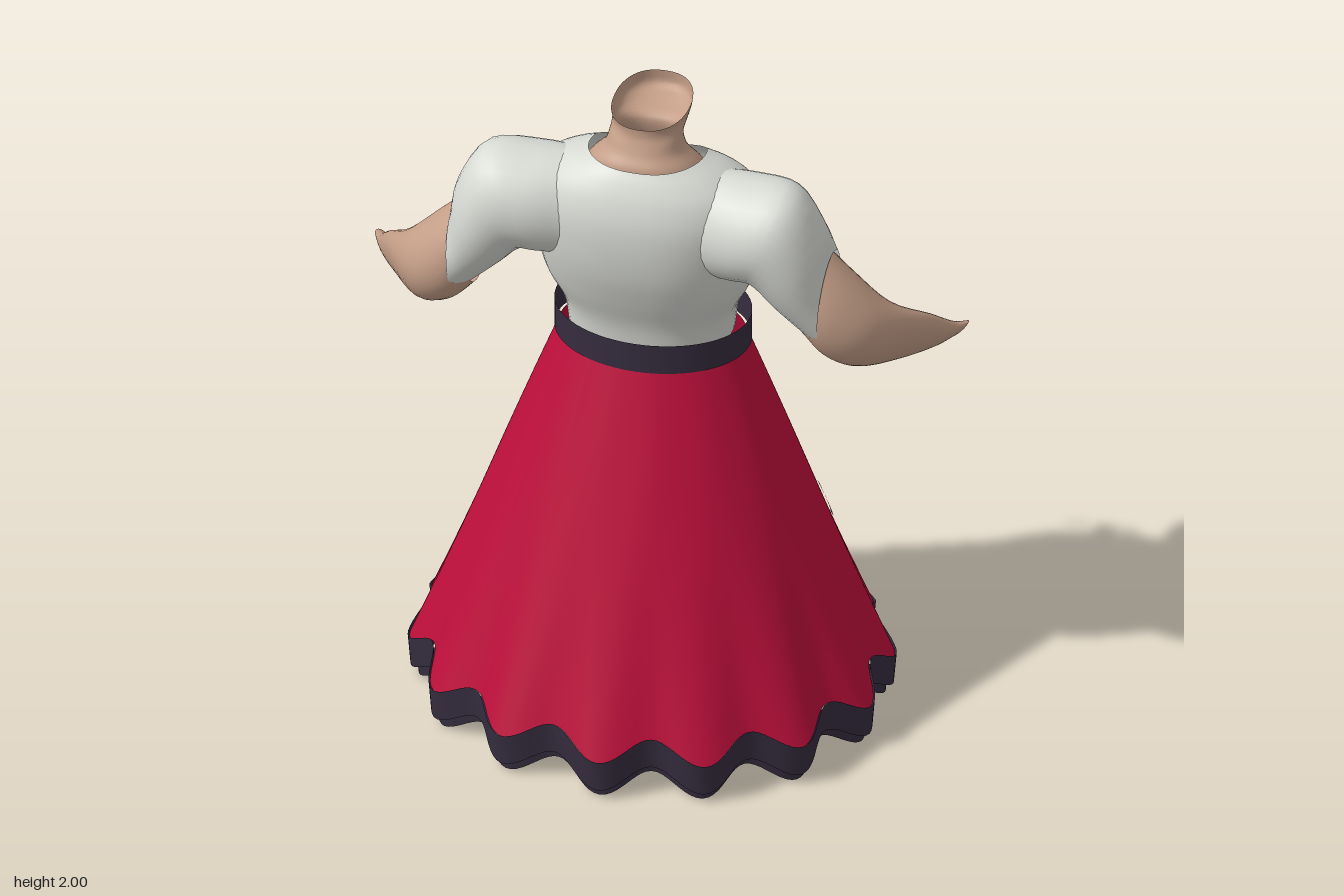
import * as THREE from 'three';

const V = (x, y, z) => new THREE.Vector3(x, y, z);
const mix = THREE.MathUtils.lerp;
const RAD = Math.PI / 180;

const mat = (name, color) => {
  const m = new THREE.MeshStandardMaterial({ color, side: THREE.DoubleSide });
  m.name = name;
  return m;
};

// Skins closed rings of points, splined from ring to ring
function loft(rings, sub = 4) {
  const n = rings[0].length;
  const rows = (rings.length - 1) * sub;
  const pos = [], idx = [];
  const columns = rings[0].map((_, j) => new THREE.CatmullRomCurve3(rings.map(r => r[j])));
  for (let i = 0; i <= rows; i++)
    for (let j = 0; j < n; j++) pos.push(...columns[j].getPoint(i / rows).toArray());
  for (let i = 0; i < rows; i++)
    for (let j = 0; j < n; j++) {
      const a = i * n + j, b = i * n + (j + 1) % n;
      idx.push(a, b, a + n, b, b + n, a + n);
    }
  const g = new THREE.BufferGeometry();
  g.setAttribute('position', new THREE.Float32BufferAttribute(pos, 3));
  g.setIndex(idx);
  g.computeVertexNormals();
  return g;
}

const ring = (n, fn) => Array.from({ length: n }, (_, j) => fn(j / n * Math.PI * 2));
const soft = (v, p) => Math.sign(v) * Math.pow(Math.abs(v), p);

// Body section: back height, front height, half width, back z, front z
function bodyRing([yb, yf, hw, zb, zf], dip) {
  return ring(48, a => {
    const c = Math.cos(a), front = Math.pow((1 - c) / 2, dip);
    return V(hw * soft(Math.sin(a), 0.85), mix(yb, yf, front), (zb + zf) / 2 + (zb - zf) / 2 * soft(c, 0.9));
  });
}

// Limb section: centre, half height, half depth, tilt of the section in degrees
function limbRing([x, y, z, h, d, tilt], side) {
  return ring(28, a => V(
    side * (x + h * Math.cos(a) * Math.cos(tilt * RAD)),
    y + h * Math.cos(a) * Math.sin(tilt * RAD),
    z + d * Math.sin(a)));
}

// Flat ribbon along [u, v, width] points, bent onto a surface by map(u, v)
function ribbon(points, scale, map) {
  const path = new THREE.CatmullRomCurve3(points.map(p => V(p[0] * scale, p[1], p[2])));
  const g = new THREE.PlaneGeometry(1, 1, 20, 4);
  const p = g.attributes.position;
  for (let i = 0; i < p.count; i++) {
    const t = p.getX(i) + 0.5, c = path.getPoint(t), d = path.getTangent(t);
    const len = Math.hypot(d.x, d.y) || 1, w = p.getY(i) * Math.max(c.z, 0.001);
    const q = map((c.x - d.y / len * w) / scale, c.y + d.x / len * w);
    p.setXYZ(i, q.x, q.y, q.z);
  }
  g.computeVertexNormals();
  return g;
}

// Fluted skirt: angle is measured from -z toward +x, t runs from waist to hem
const FOLDS = 14;
const hemY = a => 0.157 - 0.032 * Math.cos(FOLDS * a);
function skirtPoint(a, t, out = 0) {
  const f = 1 + 0.042 * Math.pow(t, 1.4) * Math.cos(FOLDS * a);
  return V(
    (mix(0.27, 0.66, t) * f + out) * Math.sin(a),
    mix(1.21, hemY(a), t),
    mix(-0.01, 0, t) - (mix(0.205, 0.575, t) * f + out) * Math.cos(a));
}
const onSkirt = (deg, y) => {
  const a = deg * RAD;
  return skirtPoint(a, (1.21 - y) / (1.21 - hemY(a)), 0.006);
};

export function createModel() {
  const model = new THREE.Group();
  const red = mat('skirtRed', 0xbd0f3b);
  const dark = mat('trimDark', 0x362d3f);
  const white = mat('shirtWhite', 0xd9dbd5);
  const skin = mat('skin', 0xc59f88);
  const scarfRed = mat('scarfRed', 0x94203c);
  const ink = mat('appliqueDark', 0x2b2a33);
  const metal = mat('buttonGrey', 0xc4c4c4);
  const add = (name, geometry, material) => {
    const m = new THREE.Mesh(geometry, material);
    m.name = name;
    model.add(m);
    return m;
  };

  // Skirt and its two-tier hem
  const N = 252;
  add('skirt', loft([0, 0.2, 0.4, 0.6, 0.8, 1].map(t => ring(N, a => skirtPoint(a, t))), 3), red);
  const hem = (name, top, bottom, out) => add(name, loft([top, bottom].map((drop, k) =>
    ring(N, a => skirtPoint(a, 1, out - k * 0.008).add(V(0, -drop, 0)))), 1), dark);
  hem('hemBand', -0.005, 0.095, 0.005);
  hem('hemUnderBand', 0.03, 0.125, -0.018);

  // Belt with three buttons
  const belt = add('belt', new THREE.CylinderGeometry(1, 1, 0.095, 64, 1, true), dark);
  belt.scale.set(0.282, 1, 0.212);
  belt.position.set(0, 1.25, -0.012);
  for (const y of [1.222, 1.25, 1.278]) {
    const b = add('beltButton', new THREE.CylinderGeometry(0.011, 0.011, 0.008, 16), metal);
    b.rotation.x = Math.PI / 2;
    b.position.set(0, y, -0.227);
  }

  // Shirt body: rings up to the dipped neckline
  const shirt = [
    [1.25, 1.25, 0.235, 0.185, -0.19],
    [1.35, 1.35, 0.25, 0.2, -0.2],
    [1.45, 1.45, 0.295, 0.235, -0.205],
    [1.55, 1.55, 0.315, 0.265, -0.2],
    [1.65, 1.65, 0.325, 0.278, -0.178],
    [1.74, 1.71, 0.325, 0.275, -0.155],
    [1.81, 1.745, 0.3, 0.255, -0.14],
    [1.86, 1.77, 0.235, 0.228, -0.125],
    [1.89, 1.785, 0.165, 0.205, -0.11],
  ];
  add('shirtBody', loft(shirt.map(r => bodyRing(r, 2.5))), white);

  // Neck and cut-off jaw
  const neck = [
    [1.85, 1.73, 0.18, 0.2, -0.11],
    [1.89, 1.79, 0.15, 0.195, -0.08],
    [1.92, 1.86, 0.115, 0.175, -0.04],
    [1.95, 1.92, 0.103, 0.16, -0.035],
    [1.97, 1.937, 0.103, 0.152, -0.1],
    [1.985, 1.955, 0.106, 0.15, -0.148],
    [2, 2, 0.11, 0.15, -0.15],
  ];
  add('neck', loft(neck.map(r => bodyRing(r, 1.8))), skin);

  // Sleeves and forearms
  const sleeve = [
    [0.2, 1.69, 0.1, 0.16, 0.14, 90],
    [0.3, 1.7, 0.115, 0.16, 0.155, 85],
    [0.39, 1.7, 0.13, 0.165, 0.148, 68],
    [0.465, 1.6, 0.125, 0.14, 0.14, 62],
    [0.54, 1.485, 0.1, 0.147, 0.124, 87],
  ];
  const arm = [
    [0.5, 1.51, 0.1, 0.135, 0.115, 80],
    [0.57, 1.44, 0.1, 0.13, 0.117, 75],
    [0.655, 1.365, 0.07, 0.105, 0.105, 65],
    [0.75, 1.285, -0.06, 0.078, 0.07, 60],
    [0.81, 1.235, -0.16, 0.045, 0.045, 50],
    [0.84, 1.222, -0.215, 0.032, 0.028, 45],
  ];
  for (const [name, side] of [['left', 1], ['right', -1]]) {
    add(name + 'Sleeve', loft(sleeve.map(r => limbRing(r, side))), white);
    add(name + 'Arm', loft(arm.map(r => limbRing(r, side))), skin);
  }

  // Neck scarf: a small knot and two pointed tails
  const onChest = (x, y) => V(x, y, -0.225 + 0.095 * Math.pow(Math.max(0, y - 1.55) / 0.24, 2));
  const scarf = [
    [[-0.1, 1.79, 0.03], [-0.05, 1.785, 0.045]],
    [[-0.075, 1.79, 0.025], [-0.05, 1.71, 0.05], [-0.025, 1.62, 0.065], [-0.015, 1.52, 0]],
    [[-0.08, 1.79, 0.025], [-0.105, 1.71, 0.05], [-0.125, 1.64, 0.06], [-0.135, 1.57, 0]],
  ];
  scarf.forEach((p, i) => add(i ? 'scarfTail' : 'scarfKnot', ribbon(p, 1, onChest), scarfRed));

  // Dog applique as bent plates: [angle in degrees, height, width]
  const dog = {
    Body: [[12, 0.49, 0.04], [18, 0.505, 0.085], [27, 0.49, 0.06], [36, 0.46, 0.075], [46, 0.44, 0.06], [50, 0.43, 0]],
    Head: [[2, 0.5, 0], [5, 0.505, 0.06], [10, 0.505, 0.08], [15, 0.5, 0.03]],
    FrontLeg: [[17, 0.48, 0.04], [15, 0.42, 0.025], [14, 0.37, 0.045], [11, 0.355, 0.02]],
    MiddleLeg: [[24, 0.48, 0.03], [23, 0.42, 0.02], [21, 0.37, 0.035]],
    BackLeg: [[46, 0.45, 0.06], [48, 0.39, 0.035], [45, 0.34, 0.06], [40, 0.32, 0.02]],
    Tuft: [[55, 0.59, 0.02], [59, 0.575, 0.05], [63, 0.56, 0.01]],
    Tail: [[52, 0.45, 0.015], [55, 0.5, 0.012], [58, 0.56, 0.015]],
    Leash: [[17, 0.53, 0.012], [19, 0.59, 0.01], [15, 0.65, 0.012], [9, 0.68, 0.02], [6, 0.71, 0.004]],
  };
  for (const [part, pts] of Object.entries(dog)) add('dog' + part, ribbon(pts, 0.01, onSkirt), ink);

  return model;
}
